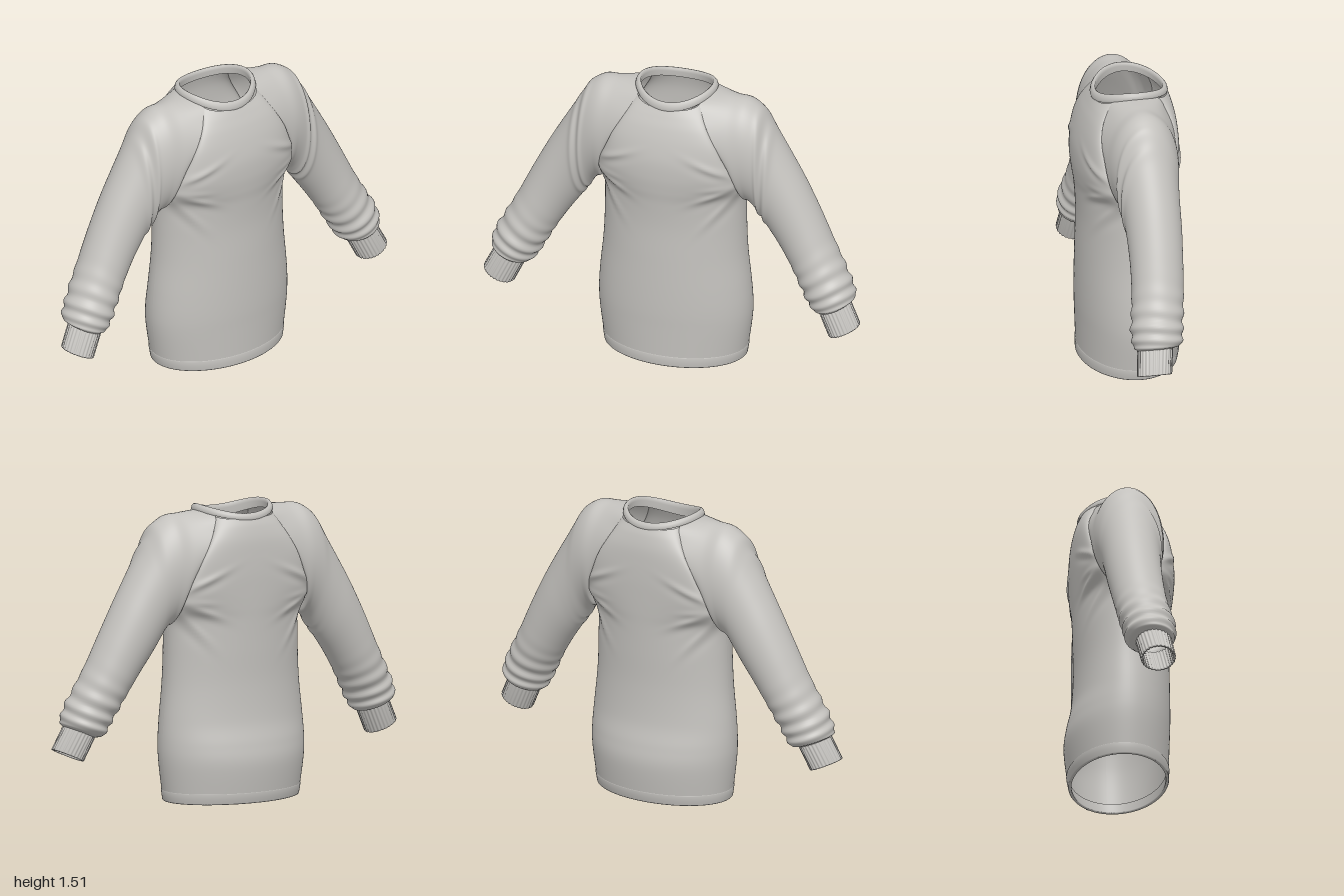
import * as THREE from 'three';

const V = (x, y, z) => new THREE.Vector3(x, y, z);
const spline = (pts, closed = false) => new THREE.CatmullRomCurve3(pts, closed, 'catmullrom', 0.5);
const bump = (v, c, w) => Math.exp(-(((v - c) / w) ** 2));

// Skin a grid of points (rows of equal length) with a smooth surface
function skin(rows, closed, flip = false) {
  const n = rows[0].length, pos = [], idx = [];
  rows.forEach(r => r.forEach(p => pos.push(p.x, p.y, p.z)));
  for (let i = 0; i < rows.length - 1; i++) {
    for (let j = 0; j < (closed ? n : n - 1); j++) {
      const k = (j + 1) % n;
      const a = i * n + j, b = i * n + k, c = a + n, d = b + n;
      if (flip) idx.push(a, d, b, a, c, d);
      else idx.push(a, b, d, a, d, c);
    }
  }
  const g = new THREE.BufferGeometry();
  g.setAttribute('position', new THREE.Float32BufferAttribute(pos, 3));
  g.setIndex(idx);
  g.computeVertexNormals();
  return g;
}

// Lower torso: half width, height, front z, back z
const LOWER = [
  [0.37, 0, 0.25, -0.245], [0.379, 0.055, 0.251, -0.256], [0.398, 0.2, 0.255, -0.272],
  [0.402, 0.3, 0.258, -0.261], [0.395, 0.42, 0.258, -0.236], [0.377, 0.6, 0.255, -0.224],
  [0.37, 0.78, 0.252, -0.227], [0.372, 0.92, 0.26, -0.231],
];
// Upper torso along the raglan seam: seam x, y, then seam z, centre y, centre z for front and back
const UPPER = [
  [0.38, 1.0, 0.07, 1.0, 0.27, -0.075, 1.0, -0.235],
  [0.36, 1.08, 0.135, 1.08, 0.276, -0.14, 1.08, -0.238],
  [0.32, 1.16, 0.172, 1.17, 0.272, -0.175, 1.17, -0.24],
  [0.28, 1.25, 0.188, 1.26, 0.252, -0.19, 1.26, -0.238],
  [0.235, 1.33, 0.18, 1.335, 0.226, -0.185, 1.34, -0.232],
  [0.195, 1.40, 0.15, 1.39, 0.199, -0.16, 1.405, -0.217],
  [0.166, 1.461, 0.1, 1.428, 0.178, -0.124, 1.446, -0.2],
];
const ARMPIT = V(0.372, 0.92, 0);
const seamPoints = side => UPPER.map(r => V(r[0], r[1], side > 0 ? r[2] : r[5]));

// Pulled folds fanning out from the armpit over the chest and back
function dragFold(x, y) {
  let sum = 0;
  for (const [y0, angle, len, amp] of [[1.1, -0.42, 0.24, 0.009], [1.03, 0.4, 0.22, 0.011], [0.98, 0.85, 0.24, 0.009], [1.04, 0.1, 0.16, 0.006]]) {
    const dx = 0.37 - Math.abs(x), dy = y0 - y;
    const along = dx * Math.cos(angle) + dy * Math.sin(angle);
    const across = -dx * Math.sin(angle) + dy * Math.cos(angle);
    sum += amp * bump(along, len * 0.45, len * 0.5) * (bump(across, 0, 0.017) - 0.4 * bump(across, 0.035, 0.02));
  }
  return sum;
}

// Front (side = 1) or back (side = -1) panel from hem to neck
function panel(side) {
  const edge = spline([...LOWER.map(r => V(r[0], r[1], 0)), ...seamPoints(side)]);
  const mid = spline([
    ...LOWER.map(r => V(0, r[1], side > 0 ? r[2] : r[3])),
    ...UPPER.map(r => (side > 0 ? V(0, r[3], r[4]) : V(0, r[6], r[7]))),
  ]);
  const rows = [], R = (LOWER.length + UPPER.length - 1) * 8, C = 72;
  for (let i = 0; i <= R; i++) {
    const e = edge.getPoint(i / R), m = mid.getPoint(i / R), row = [];
    for (let j = 0; j <= C; j++) {
      const a = (j / C - 0.5) * Math.PI, c = Math.cos(a);
      const x = side * e.x * Math.sin(a), y = e.y + (m.y - e.y) * c;
      const fold = dragFold(x, y) * Math.min(1, c * 3);
      row.push(V(x, y, e.z + (m.z - e.z) * c + side * fold));
    }
    rows.push(row);
  }
  return skin(rows, false);
}

// Elliptical sleeve ring from upper x, y, lower x, y, front z, back z
function ringPoint([ux, uy, lx, ly, zf, zb], phi, scale = 1) {
  const c = Math.cos(phi) * 0.5 * scale, s = Math.sin(phi) * 0.5 * scale;
  return V((ux + lx) / 2 + c * (ux - lx), (uy + ly) / 2 + c * (uy - ly), (zf + zb) / 2 + s * (zf - zb));
}

const SLEEVE = [
  [0.30, 1.475, 0.385, 0.912, 0.182, -0.188],
  [0.39, 1.466, 0.405, 0.9, 0.17, -0.18],
  [0.465, 1.41, 0.43, 0.875, 0.156, -0.17],
  [0.525, 1.31, 0.452, 0.84, 0.145, -0.161],
  [0.60, 1.185, 0.475, 0.805, 0.135, -0.155],
  [0.68, 1.045, 0.51, 0.755, 0.13, -0.15],
  [0.76, 0.89, 0.56, 0.685, 0.13, -0.14],
  [0.83, 0.745, 0.615, 0.6, 0.137, -0.128],
  [0.89, 0.63, 0.662, 0.52, 0.15, -0.115],
  [0.942, 0.53, 0.71, 0.435, 0.163, -0.1],
  [0.965, 0.455, 0.748, 0.375, 0.158, -0.088],
  [0.94, 0.425, 0.79, 0.362, 0.138, -0.038],
];

const mirrored = (rows, sign) => rows.map(r => r.map(p => V(p.x * sign, p.y, p.z)));

function sleeve(sign) {
  const N = 64, R = SLEEVE.length * 10;
  // First ring follows the neck, front seam, armpit and back seam
  const seam = spline([V(0.205, 1.48, -0.012), ...seamPoints(1).reverse(), ARMPIT, ...seamPoints(-1)], true);
  const lines = [];
  for (let j = 0; j < N; j++) {
    const phi = (j / N) * Math.PI * 2;
    lines.push(spline([seam.getPoint(j / N), ...SLEEVE.map(r => ringPoint(r, phi))]));
  }
  const rows = [];
  for (let i = 0; i <= R; i++) {
    const v = i / 10, row = lines.map(l => l.getPoint(i / R));
    const centre = row.reduce((s, p) => s.add(p), V(0, 0, 0)).divideScalar(N);
    row.forEach((p, j) => {
      const phi = (j / N) * Math.PI * 2;
      // Gathered folds above the cuff and soft folds near the upper arm
      const gather = 0.05 * bump(v, 9.9, 1.2) * Math.sin(v * 8.4 + 1.1 * Math.sin(phi + 0.6) + 0.5 * Math.sin(2 * phi));
      const w = v + 0.7 * Math.cos(phi);
      const upper = 0.05 * (bump(w, 3.6, 0.28) + bump(w, 4.6, 0.25) - 0.5 * bump(w, 4.1, 0.25)) * bump(Math.sin(phi), 1, 0.9);
      p.sub(centre).multiplyScalar(1 + (gather + upper) * Math.min(1, (12 - v) * 2)).add(centre);
    });
    rows.push(row);
  }
  return skin(mirrored(rows, sign), true, sign < 0);
}

// Ribbed cuff with a folded inner wall
function cuff(sign) {
  const top = [0.942, 0.428, 0.788, 0.362, 0.14, -0.04], end = [1.0, 0.312, 0.845, 0.242, 0.152, -0.022];
  const profile = [[-0.03, 0.98], [0.05, 1.0], [0.5, 1.0], [0.97, 1.0], [1, 0.97], [1, 0.9], [0.95, 0.88], [0, 0.86]];
  const N = 168;
  const rows = profile.map(([t, s]) => Array.from({ length: N }, (_, j) => {
    const phi = (j / N) * Math.PI * 2;
    const rib = 0.022 * Math.tanh(2 * Math.cos(phi * 28));
    return ringPoint(top.map((a, k) => a + (end[k] - a) * t), phi, s + rib);
  }));
  return skin(mirrored(rows, sign), true, sign < 0);
}

// Neck band: offset outward and lift for each profile point
function collar() {
  const profile = [[0.003, -0.004], [0.006, 0.004], [0.002, 0.018], [-0.006, 0.027], [-0.014, 0.029], [-0.021, 0.024], [-0.022, 0.01], [-0.018, -0.02]];
  const rows = profile.map(([off, lift]) => Array.from({ length: 96 }, (_, j) => {
    const a = (j / 96) * Math.PI * 2, c = Math.cos(a);
    const dip = (c > 0 ? 0.052 : 0.036) * c * c;
    return V((0.205 + off) * Math.sin(a), 1.48 - dip + lift * (1 + 0.3 * Math.max(0, c)), -0.012 + (0.19 + off) * c);
  }));
  return skin(rows, true);
}

// Hem band: outward offset and height for each profile point
function hem() {
  const profile = [[-0.002, 0.058], [0.003, 0.053], [0.003, 0.028], [0.003, 0.004], [0, 0], [-0.012, 0], [-0.014, 0.006], [-0.012, 0.055]];
  const rows = profile.map(([off, y]) => Array.from({ length: 120 }, (_, j) => {
    const a = (j / 120) * Math.PI * 2, c = Math.cos(a);
    const depth = c > 0 ? 0.25 + 0.02 * y : 0.245 + 0.2 * y;
    return V((0.37 + 0.16 * y + off) * Math.sin(a), y, (depth + off) * c);
  }));
  return skin(rows, true, true);
}

export function createModel() {
  const fabric = new THREE.MeshStandardMaterial({ color: 0xc4c2be, side: THREE.DoubleSide });
  fabric.name = 'light grey fabric';
  const model = new THREE.Group();
  model.name = 'sweater';
  const add = (name, geometry) => {
    const mesh = new THREE.Mesh(geometry, fabric);
    mesh.name = name;
    model.add(mesh);
  };
  add('frontPanel', panel(1));
  add('backPanel', panel(-1));
  add('collar', collar());
  add('hem', hem());
  for (const [side, sign] of [['left', 1], ['right', -1]]) {
    add(side + 'Sleeve', sleeve(sign));
    add(side + 'Cuff', cuff(sign));
  }
  return model;
}
